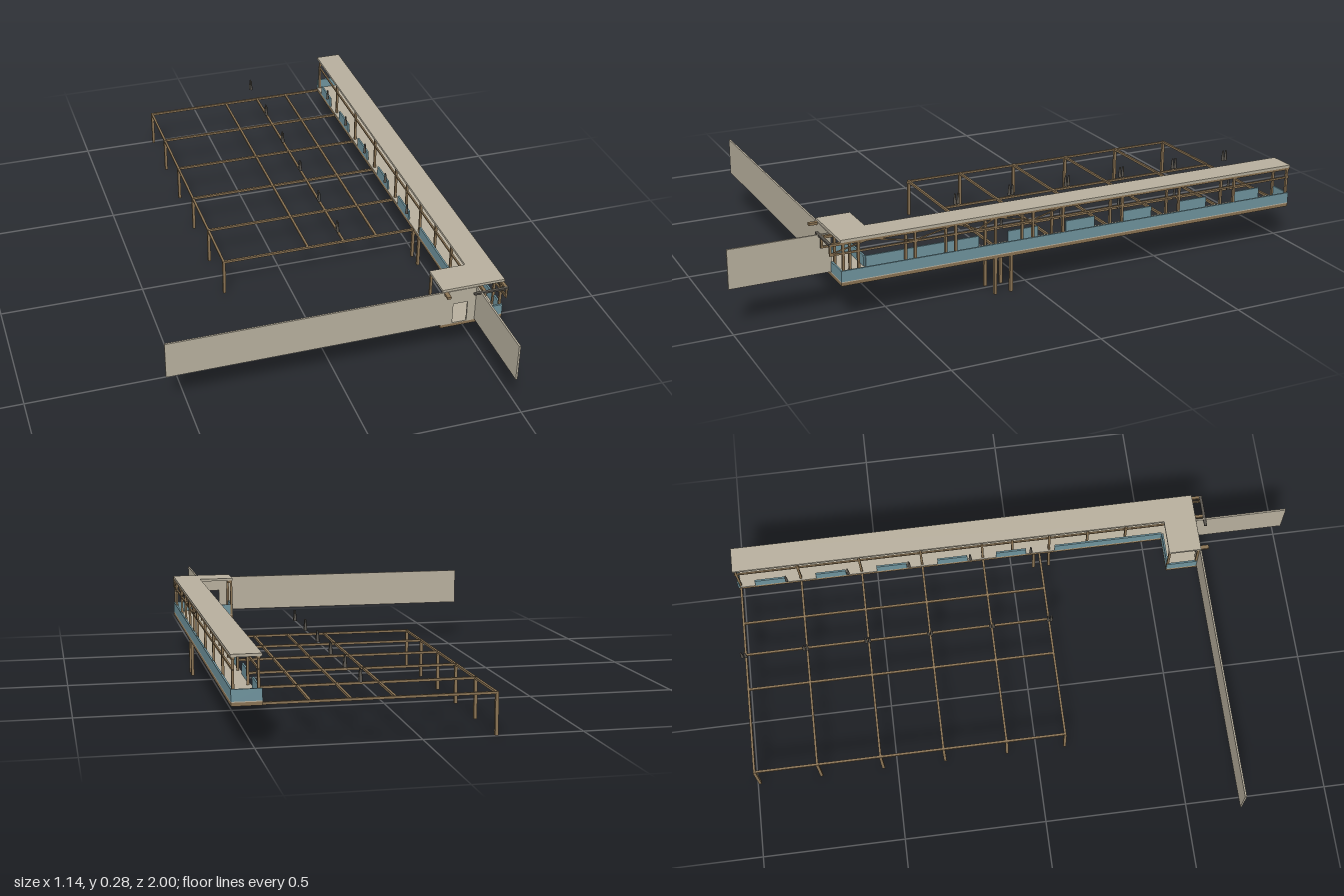
import * as THREE from 'three';

export function createModel() {
  const model = new THREE.Group();
  const mat = (name, color) => {
    const m = new THREE.MeshStandardMaterial({ color });
    m.name = name;
    return m;
  };
  const plaster = mat('plaster', 0xb8b09e);
  const wood = mat('wood', 0x8a7353);
  const blue = mat('bluePanel', 0x6f949e);
  const metal = mat('darkMetal', 0x57534c);

  // Box given by its minimum and maximum on each axis
  const box = (name, material, x0, x1, y0, y1, z0, z1) => {
    const m = new THREE.Mesh(new THREE.BoxGeometry(x1 - x0, y1 - y0, z1 - z0), material);
    m.position.set((x0 + x1) / 2, (y0 + y1) / 2, (z0 + z1) / 2);
    m.name = name;
    model.add(m);
    return m;
  };
  // Square bar lying in a plane of constant x
  const brace = (name, x, z0, y0, z1, y1, t) => {
    const m = new THREE.Mesh(new THREE.BoxGeometry(t, t, Math.hypot(z1 - z0, y1 - y0)), wood);
    m.position.set(x, (y0 + y1) / 2, (z0 + z1) / 2);
    m.rotation.x = -Math.atan2(y1 - y0, z1 - z0);
    m.name = name;
    model.add(m);
  };
  // L-shaped slab in plan: long walkway plus the corner landing
  const slab = (name, material, y0, y1, inset = 0) => {
    const s = new THREE.Shape([
      [0.475, 1], [0.567, 1], [0.567, -0.67], [0.35, -0.67], [0.35, -0.555], [0.475, -0.555],
    ].map(([x, y]) => new THREE.Vector2(x, y)));
    const g = new THREE.ExtrudeGeometry(s, { depth: y1 - y0, bevelEnabled: false });
    g.rotateX(-Math.PI / 2);
    const m = new THREE.Mesh(g, material);
    m.position.y = y0;
    m.name = name;
    model.add(m);
  };

  // Walkway slabs
  slab('deckFrame', wood, 0.126, 0.137);
  slab('deckFloor', plaster, 0.137, 0.14);
  slab('roof', plaster, 0.269, 0.278);

  // Front screen wall with a doorway, and the projecting side wall
  const wall = new THREE.Shape([
    [-0.57, 0.14], [0.39, 0.14], [0.39, 0.217], [0.44, 0.217],
    [0.44, 0.14], [0.474, 0.14], [0.474, 0.269], [-0.57, 0.269],
  ].map(([x, y]) => new THREE.Vector2(x, y)));
  const wallMesh = new THREE.Mesh(
    new THREE.ExtrudeGeometry(wall, { depth: 0.006, bevelEnabled: false }), plaster);
  wallMesh.position.z = 0.666;
  wallMesh.name = 'frontWall';
  model.add(wallMesh);
  box('sideWall', plaster, 0.468, 0.474, 0.14, 0.27, 0.672, 1);

  // Blue parapets: continuous outside, intermittent beside the pergola
  const P0 = 0.14, P1 = 0.176;
  box('outerParapet', blue, 0.561, 0.567, P0, P1, -1, 0.67);
  box('frontParapet', blue, 0.478, 0.561, P0, P1, 0.664, 0.67);
  box('backParapet', blue, 0.475, 0.561, P0, P1, -1, -0.994);
  box('landingSideParapet', blue, 0.35, 0.356, P0, P1, 0.555, 0.665);
  box('landingBackParapet', blue, 0.356, 0.475, P0, P1, 0.555, 0.561);
  box('innerParapet', blue, 0.475, 0.481, P0, P1, 0.16, 0.555);
  const bays = [-0.992, -0.772, -0.55, -0.328, -0.105, 0.103];
  for (let i = 0; i < 5; i++) {
    const mid = (bays[i] + bays[i + 1]) / 2;
    box('innerParapetPanel', blue, 0.475, 0.481, P0, P1, mid - 0.055, mid + 0.055);
  }

  // Roof posts, rails and beams on both sides of the walkway
  const postZ = [0.66, 0.61, 0.42, 0.28, 0.14, 0.005, -0.105, -0.328, -0.55, -0.772, -0.992];
  for (const x of [0.485, 0.56]) {
    for (const z of postZ) {
      box('roofPost', wood, x - 0.004, x + 0.004, 0.14, 0.264, z - 0.004, z + 0.004);
    }
    box('roofBeam', wood, x - 0.005, x + 0.005, 0.261, 0.269, -1, 0.705);
    box('rail', wood, x - 0.003, x + 0.003, 0.229, 0.235, -1, 0.705);
    box('beamEndStrut', wood, x - 0.003, x + 0.003, 0.235, 0.269, 0.698, 0.705);
    for (const z of [0.14, 0.083]) {
      box('deckPost', wood, x - 0.005, x + 0.005, 0, 0.126, z - 0.005, z + 0.005);
    }
  }
  box('landingRoofBeam', wood, 0.355, 0.369, 0.261, 0.269, 0.555, 0.7);
  box('frontCrossBar', metal, 0.445, 0.565, 0.264, 0.27, 0.698, 0.708);
  for (const z of [0.558, 0.662]) {
    box('landingPost', wood, 0.352, 0.36, 0.14, 0.269, z - 0.004, z + 0.004);
  }

  // Truss diagonals on the outer side
  const zig = [[0.7, 0.235], [0.57, 0.265], [0.42, 0.235], [0.28, 0.265], [0.2, 0.235],
    [0.14, 0.265], [0.005, 0.235], [-0.105, 0.265]];
  for (let i = 0; i + 1 < zig.length; i++) {
    brace('trussDiagonal', 0.56, ...zig[i], ...zig[i + 1], 0.004);
  }

  // Pergola: cross beams on posts, joined by long beams
  for (const z of bays) {
    box('pergolaPost', wood, -0.233, -0.223, 0, 0.127, z - 0.005, z + 0.005);
    box('pergolaCrossBeam', wood, -0.233, 0.476, 0.126, 0.134, z - 0.004, z + 0.004);
  }
  for (const x of [-0.228, 0.08, 0.213, 0.335]) {
    box('pergolaLongBeam', wood, x - 0.004, x + 0.004, 0.126, 0.133, -0.995, 0.106);
  }

  // Small hanging lamps: twin ones over the pergola, single ones by the walkway
  const lamp = (name, x, z, r) => {
    const m = new THREE.Mesh(new THREE.CylinderGeometry(r * 0.5, r, 0.038, 8), metal);
    m.position.set(x, 0.2, z);
    m.name = name;
    model.add(m);
  };
  for (const z of bays) {
    lamp('twinLamp', 0.187, z - 0.006, 0.006);
    lamp('twinLamp', 0.187, z + 0.006, 0.006);
  }
  for (const z of [-0.82, -0.597, -0.375, -0.152, 0.07]) lamp('walkwayLamp', 0.461, z, 0.006);

  return model;
}
